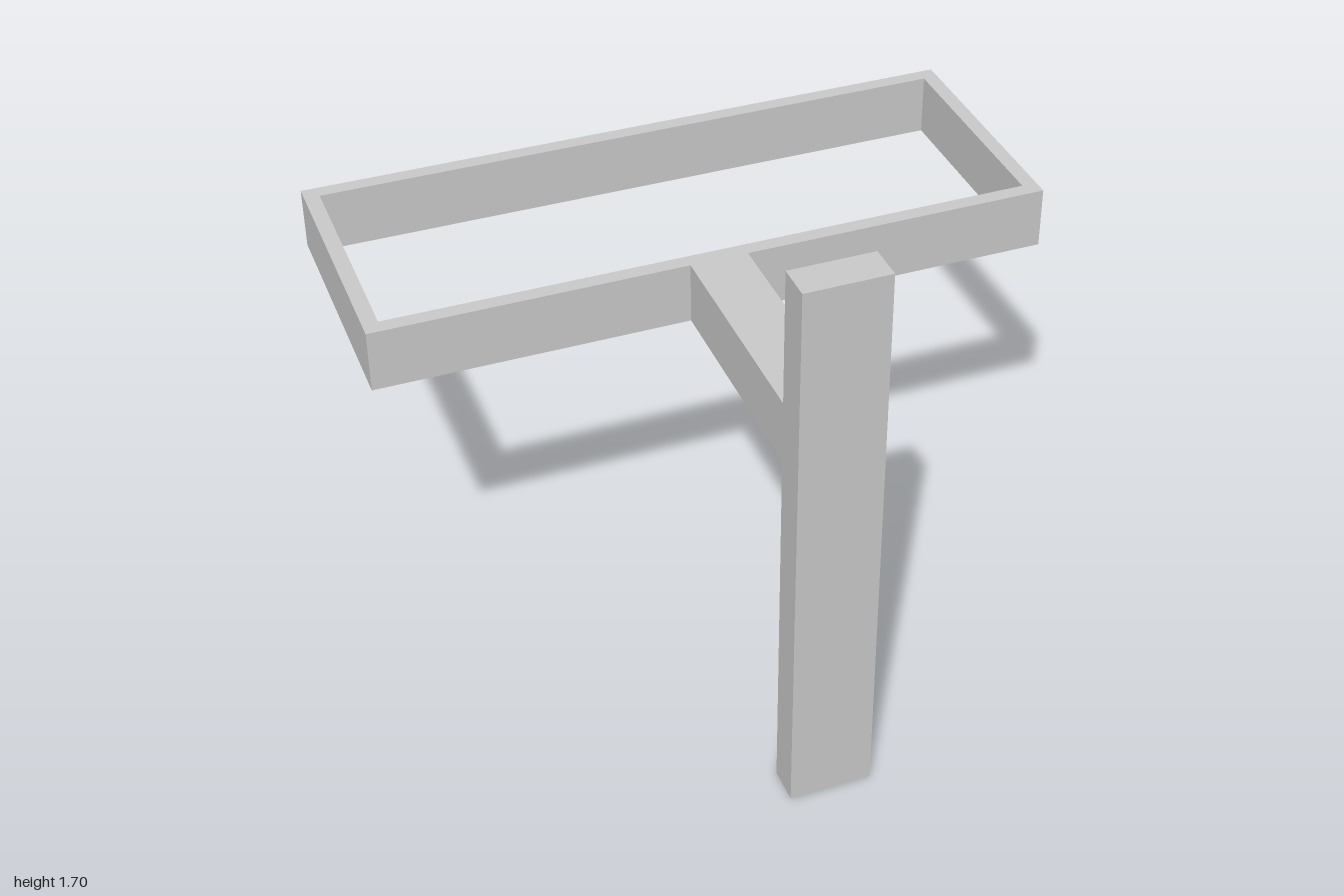
import * as THREE from 'three';

const BOTTOM = 1.05, TOP = 1.235; // height range shared by the arm and the frame
const BACK = -0.815, FRAME_FRONT = -0.05, POST_BACK = 0.71, FRONT = 0.815;
const WALL = 0.045;

const material = new THREE.MeshStandardMaterial({ color: 0xcccccc, flatShading: true });

// Box given by its width (centred on x) and its y and z ranges
function beam(name, width, y0, y1, z0, z1) {
  const mesh = new THREE.Mesh(new THREE.BoxGeometry(width, y1 - y0, z1 - z0), material);
  mesh.position.set(0, (y0 + y1) / 2, (z0 + z1) / 2);
  mesh.name = name;
  return mesh;
}

// Rectangle outline, inset from the frame's outer edge
function outline(PathType, inset) {
  const x = 1 - inset, y0 = -FRAME_FRONT + inset, y1 = -BACK - inset;
  return new PathType([[-x, y0], [x, y0], [x, y1], [-x, y1]].map(([a, b]) => new THREE.Vector2(a, b)));
}

export function createModel() {
  const group = new THREE.Group();
  group.name = 'postWithFrame';

  // Upright post and the horizontal arm behind it
  group.add(beam('post', 0.24, 0, 1.7, POST_BACK, FRONT));
  group.add(beam('arm', 0.17, BOTTOM, TOP, FRAME_FRONT, POST_BACK));

  // Open rectangular frame carried by the arm
  const shape = outline(THREE.Shape, 0);
  shape.holes.push(outline(THREE.Path, WALL));
  const geometry = new THREE.ExtrudeGeometry(shape, { depth: TOP - BOTTOM, bevelEnabled: false });
  geometry.rotateX(-Math.PI / 2);
  const frame = new THREE.Mesh(geometry, material);
  frame.position.y = BOTTOM;
  frame.name = 'frame';
  group.add(frame);

  return group;
}
